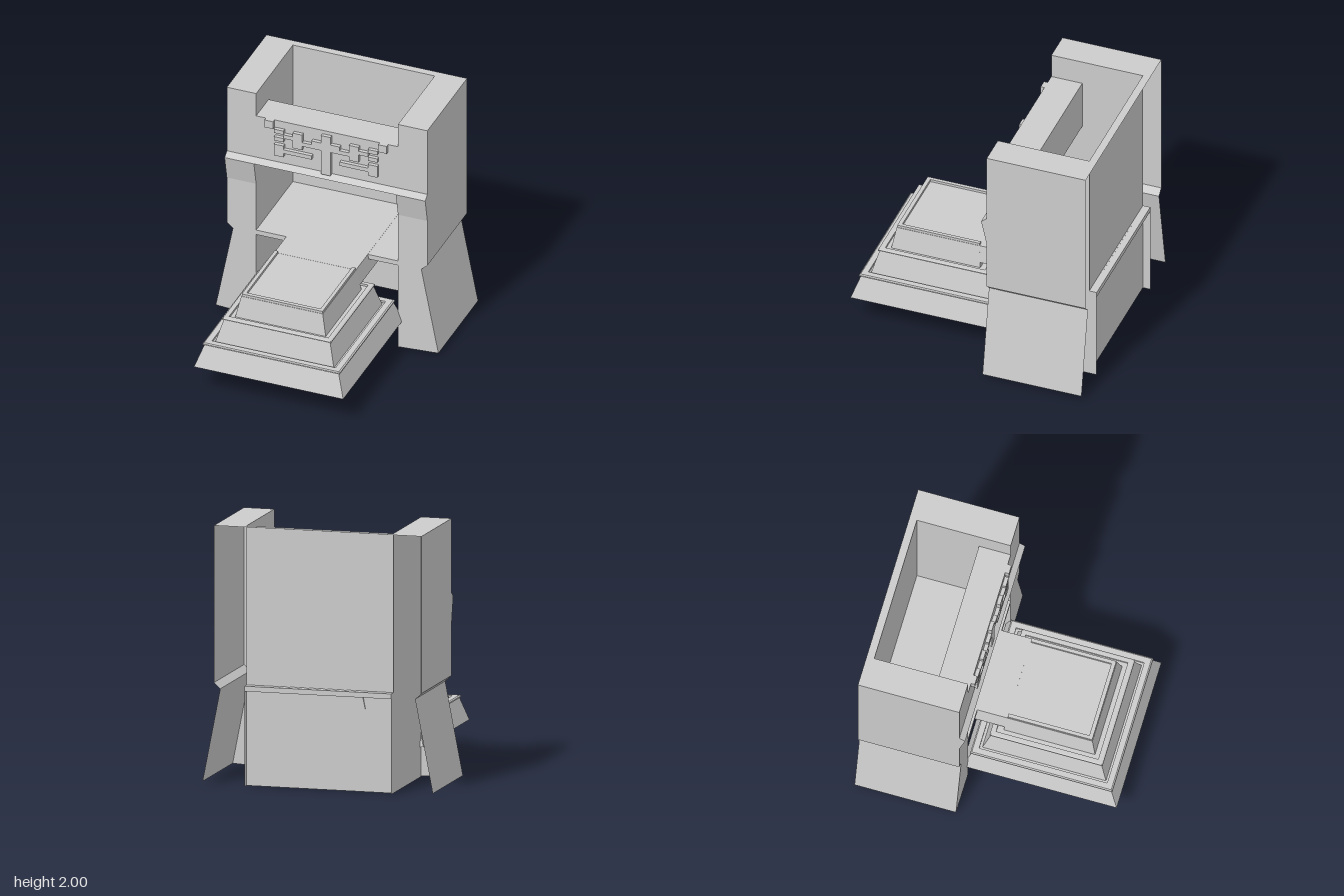
import * as THREE from 'three';

const grey = new THREE.MeshStandardMaterial({ color: 0xcccccc, flatShading: true, side: THREE.DoubleSide });

function add(parent, name, geometry) {
  const m = new THREE.Mesh(geometry, grey);
  m.name = name;
  parent.add(m);
  return m;
}

function box(x0, x1, y0, y1, z0, z1) {
  return new THREE.BoxGeometry(x1 - x0, y1 - y0, z1 - z0)
    .translate((x0 + x1) / 2, (y0 + y1) / 2, (z0 + z1) / 2);
}

// Joins successive cross-sections (lists of points) with flat quads
function loft(sections, closed) {
  const pos = [];
  for (let i = 0; i < sections.length - 1; i++) {
    const a = sections[i], b = sections[i + 1], n = a.length;
    for (let j = 0; j < (closed ? n : n - 1); j++) {
      const k = (j + 1) % n;
      pos.push(...a[j], ...a[k], ...b[k], ...a[j], ...b[k], ...b[j]);
    }
  }
  const g = new THREE.BufferGeometry();
  g.setAttribute('position', new THREE.Float32BufferAttribute(pos, 3));
  g.computeVertexNormals();
  return g;
}

const toShape = pts => new THREE.Shape(pts.map(p => new THREE.Vector2(...p)));

// Extrudes a side profile of [z, y] points from x0 to x1
function alongX(profile, x0, x1) {
  return new THREE.ExtrudeGeometry(toShape(profile), { depth: x1 - x0, bevelEnabled: false })
    .rotateY(-Math.PI / 2).translate(x1, 0, 0);
}

// Rectangular level of the stepped base, counter-clockwise from above
const level = ([hx, z0, z1, y]) => [[-hx, y, z1], [hx, y, z1], [hx, y, z0], [-hx, y, z0]];

const FRONT = -0.19, WALL = -0.93, BACK = -0.99;

// Hollow tower with a flared leg, open at the back and below
function tower(s) {
  const g = new THREE.Group();
  g.name = s > 0 ? 'leftTower' : 'rightTower';
  const outer = [[0.58, 2], [0.82, 2], [0.82, 0.79], [0.77, 0.745], [0.91, 0.025]].map(([x, y]) => [s * x, y]);
  const strip = (pts, z0, z1) => loft([pts.map(([x, y]) => [x, y, z0]), pts.map(([x, y]) => [x, y, z1])]
    .sort(() => 0), false);
  add(g, 'outerShell', strip(s > 0 ? outer : outer.slice().reverse(), BACK, FRONT));
  add(g, 'upperInnerWall', strip([[s * 0.58, 0.775], [s * 0.58, 2]], WALL, FRONT));
  add(g, 'legInnerWall', strip([[s * 0.58, 0], [s * 0.58, 0.775]], BACK, FRONT));
  add(g, 'towerFront', new THREE.ShapeGeometry(toShape([...outer, [s * 0.58, 0.005]])).translate(0, 0, FRONT));
  const x0 = s > 0 ? 0.58 : -0.82;
  add(g, 'pillarBracket', alongX([[FRONT, 1.19], [-0.145, 1.395], [FRONT, 1.43]], x0, x0 + 0.24));
  return g;
}

// Raised block relief on the lintel
function relief() {
  const g = new THREE.Group();
  g.name = 'relief';
  const rows = ['.....', '#.#..', '.##.#', '#.###', '..#..', '#....', '####.', '#....'];
  const w = 0.0768, h = 0.0335, top = 1.77, z0 = FRONT, z1 = -0.16;
  add(g, 'centreBar', box(-w / 2, w / 2, 1.425, top, z0, z1));
  for (const s of [-1, 1]) {
    const place = (name, a, b, y0, y1) =>
      add(g, name, box(Math.min(s * a, s * b), Math.max(s * a, s * b), y0, y1, z0, z1));
    place('cornerBlock', 0.43, 0.5, 1.735, 1.8);
    rows.forEach((row, r) => [...row].forEach((c, i) => {
      if (c !== '#') return;
      const x = w / 2 + (4 - i) * w, y = top - r * h;
      place('reliefBlock', x, x + w, y - h, y);
    }));
  }
  return g;
}

function steppedBase() {
  const g = new THREE.Group();
  g.name = 'steppedBase';
  const tiers = {
    lowerTier: [[0.61, -0.23, 0.99, 0.235], [0.55, -0.17, 0.93, 0.41], [0.56, -0.18, 0.94, 0.415],
      [0.56, -0.18, 0.94, 0.425], [0.55, -0.17, 0.93, 0.432], [0.505, -0.125, 0.885, 0.432],
      [0.505, -0.125, 0.885, 0.415], [0.485, -0.105, 0.87, 0.415]],
    middleTier: [[0.485, -0.105, 0.87, 0.415], [0.435, -0.05, 0.82, 0.6], [0.445, -0.06, 0.83, 0.604],
      [0.445, -0.06, 0.83, 0.611], [0.435, -0.05, 0.82, 0.617], [0.405, -0.02, 0.785, 0.617],
      [0.405, -0.02, 0.785, 0.6], [0.37, 0.03, 0.75, 0.6]],
    upperTier: [[0.37, 0.03, 0.75, 0.6], [0.333, 0.05, 0.719, 0.775]],
  };
  for (const [name, levels] of Object.entries(tiers)) add(g, name, loft(levels.map(level), true));
  // Ceiling inside the hollow lowest tier
  add(g, 'underside', new THREE.PlaneGeometry(0.97, 0.975).rotateX(Math.PI / 2).translate(0, 0.415, 0.3825));
  add(g, 'landing', new THREE.PlaneGeometry(0.666, 0.669).rotateX(-Math.PI / 2).translate(0, 0.775, 0.3845));
  // Low rim on three sides of the landing
  const rim = toShape([[-0.33, -0.05], [-0.33, -0.716], [0.33, -0.716], [0.33, -0.05],
    [0.302, -0.05], [0.302, -0.685], [-0.302, -0.685], [-0.302, -0.05]]);
  add(g, 'landingRim', new THREE.ExtrudeGeometry(rim, { depth: 0.02, bevelEnabled: false })
    .rotateX(-Math.PI / 2).translate(0, 0.775, 0));
  // Walkway running from the landing through the gate
  const walk = toShape([[-0.36, 0.64], [0.36, 0.64], [0.333, 0.776], [-0.333, 0.776]]);
  add(g, 'walkway', new THREE.ExtrudeGeometry(walk, { depth: 0.99, bevelEnabled: false }).translate(0, 0, -0.94));
  return g;
}

export function createModel() {
  const model = new THREE.Group();
  model.name = 'gate';
  model.add(tower(1), tower(-1));

  // Lintel with a projecting lower ledge
  add(model, 'lintel', alongX([[-0.44, 1.395], [-0.145, 1.395], [FRONT, 1.43], [FRONT, 1.8], [-0.44, 1.8]], -0.58, 0.58));
  model.add(relief());

  // Thin rear walls, overhanging top strip and floor
  add(model, 'upperBackWall', new THREE.PlaneGeometry(1.16, 1.225).translate(0, 1.3875, WALL));
  add(model, 'lowerBackWall', new THREE.PlaneGeometry(1.16, 0.74).translate(0, 0.37, WALL));
  add(model, 'rearTopStrip', new THREE.PlaneGeometry(1.16, 0.06).rotateX(-Math.PI / 2).translate(0, 2, -0.96));
  add(model, 'floor', box(-0.58, 0.58, 0.735, 0.775, BACK, FRONT));

  model.add(steppedBase());
  return model;
}
